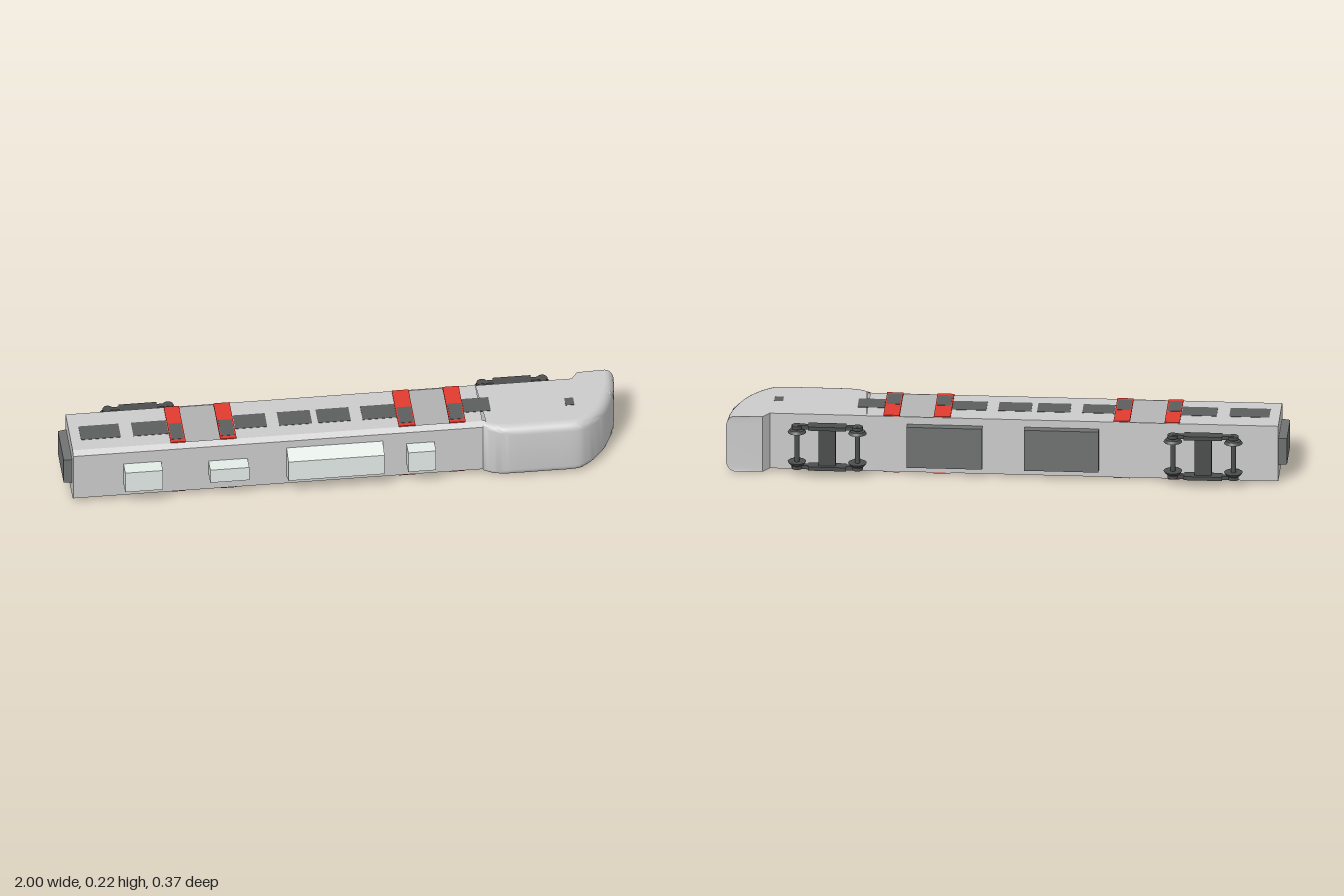
import * as THREE from 'three';
import { toCreasedNormals } from 'three/addons/utils/BufferGeometryUtils.js';

// Rail car lying on its side: roof faces +z, wheels face -z, nose at +x.
const CY = 0.111, HALF = 0.106;
const material = (color) => new THREE.MeshStandardMaterial({ color, side: THREE.DoubleSide });
const grey = material(0xcccccc);
const pale = material(0xe4ece8);
const glass = material(0x5c5e5e);
const dark = material(0x4c4e4e);
const under = material(0x707272);
const red = material(0xe23a2e);

export function createModel() {
  const group = new THREE.Group();

  const add = (name, geometry, mat, parent = group) => {
    const mesh = new THREE.Mesh(geometry, mat);
    mesh.name = name;
    parent.add(mesh);
    return mesh;
  };
  // Box given by its extents; y is measured from the centre plane
  const box = (name, mat, x0, x1, y0, y1, z0, z1, parent) => {
    const mesh = add(name, new THREE.BoxGeometry(x1 - x0, y1 - y0, z1 - z0), mat, parent);
    mesh.position.set((x0 + x1) / 2, CY + (y0 + y1) / 2, (z0 + z1) / 2);
    return mesh;
  };
  // The same box on both sides of the car
  const pair = (name, mat, x0, x1, y0, y1, z0, z1, parent) => {
    box(name, mat, x0, x1, y0, y1, z0, z1, parent);
    box(name, mat, x0, x1, -y1, -y0, z0, z1, parent);
  };

  // Hollow body, with open doorways between the side panels
  for (const [x0, x1] of [[-0.97, -0.564], [-0.44, 0.26], [0.382, 0.5]])
    pair('sidePanel', grey, x0, x1, HALF - 0.004, HALF, -0.105, 0.107);
  box('floor', grey, -0.97, 0.5, -HALF, HALF, -0.107, -0.103);
  box('rearWall', grey, -0.97, -0.966, -HALF, HALF, -0.105, 0.107);

  // Roof with chamfered edges
  const roof = new THREE.Shape([[-HALF, 0.104], [HALF, 0.104], [HALF, 0.107], [HALF - 0.013, 0.127],
    [-HALF + 0.013, 0.127], [-HALF, 0.107]].map(([y, z]) => new THREE.Vector2(y, z)));
  const roofGeometry = new THREE.ExtrudeGeometry(roof, { depth: 1.48, bevelEnabled: false });
  roofGeometry.applyMatrix4(new THREE.Matrix4().makeBasis(
    new THREE.Vector3(0, 1, 0), new THREE.Vector3(0, 0, 1), new THREE.Vector3(1, 0, 0)));
  add('roof', roofGeometry, grey).position.set(-0.97, CY, 0);

  // Nose: a lengthwise outline swept across the width, with rounded edges
  const outline = new THREE.SplineCurve([[0.5, 0.127], [0.53, 0.149], [0.57, 0.162], [0.62, 0.167],
    [0.73, 0.167], [0.83, 0.166], [0.87, 0.149], [0.915, 0.107], [0.957, 0.043], [0.99, -0.053], [1, -0.14]]
    .map(([x, z]) => new THREE.Vector2(x, z)));
  const rows = [];
  for (let i = 0; i <= 40; i++) {
    const p = outline.getPoint(i / 40), t = outline.getTangent(i / 40);
    const grow = Math.min(1, i / 12), front = Math.max(0, (i - 20) / 20);
    rows.push({ x: p.x, z: p.y, nx: t.y, nz: -t.x, inset: 0.02 + 0.012 * grow, round: 0.013 + 0.017 * grow + 0.015 * front });
  }
  // Underside rows close the chin and the floor
  for (const [x, z] of [[0.868, -0.14], [0.845, -0.105], [0.5, -0.105]])
    rows.push({ x, z, nx: 0, nz: 0, inset: 0, round: 0.03 });
  const steps = 6, columns = 2 * steps + 2;
  const positions = [], indices = [];
  const rowPoint = (r, j) => {
    const side = j <= steps ? -1 : 1;
    const k = j <= steps ? steps - j : j - steps - 1;
    const a = (k / steps) * Math.PI / 2, d = r.inset * (1 - Math.cos(a));
    return [r.x + r.nx * d, CY + side * (HALF - r.round + r.round * Math.sin(a)), r.z + r.nz * d];
  };
  rows.forEach((r, i) => {
    for (let j = 0; j < columns; j++) {
      positions.push(...rowPoint(r, j));
      if (i < rows.length - 1 && j < columns - 1) {
        const a = i * columns + j, b = a + columns;
        indices.push(a, b, a + 1, b, b + 1, a + 1);
      }
    }
  });
  const noseGeometry = new THREE.BufferGeometry();
  noseGeometry.setAttribute('position', new THREE.Float32BufferAttribute(positions, 3));
  noseGeometry.setIndex(indices);
  add('nose', toCreasedNormals(noseGeometry, 0.6), grey);

  // Flat nose sides
  const sideShape = new THREE.Shape(rows.map((r) => {
    const [x, , z] = rowPoint(r, 0);
    return new THREE.Vector2(x, z);
  }));
  for (const s of [-1, 1]) {
    const side = add('noseSide', new THREE.ShapeGeometry(sideShape), grey);
    side.rotation.x = Math.PI / 2;
    side.position.y = CY + s * HALF;
  }

  // Slanted headlight strips following the rounded front
  for (const s of [-1, 1]) {
    const strip = new THREE.PlaneGeometry(1, 1, 1, 10);
    const p = strip.attributes.position;
    for (let i = 0; i < p.count; i++) {
      const v = p.getY(i) + 0.5, h = 0.058 + 0.041 * v;
      const z = -0.034 + 0.01 * v + 0.012 * (p.getX(i) + 0.5);
      const sin = Math.max(0, (h - HALF + 0.038) / 0.038);
      const bend = 0.032 * (1 - Math.sqrt(1 - Math.min(1, sin * sin)));
      p.setXYZ(i, 0.978 - 0.26 * z - bend, CY + s * h, z);
    }
    strip.computeVertexNormals();
    add('headlight', strip, pale);
  }

  // Side windows
  for (const [x0, x1] of [[-0.933, -0.79], [-0.745, -0.62], [-0.38, -0.265], [-0.222, -0.104],
    [-0.083, 0.035], [0.077, 0.2], [0.441, 0.537]])
    pair('window', glass, x0, x1, HALF - 0.002, HALF + 0.001, -0.03, 0.05);
  pair('cabWindow', glass, 0.805, 0.837, HALF - 0.002, HALF + 0.001, 0.008, 0.05);

  // Sliding doors, standing open
  for (const [x0, x1] of [[-0.618, -0.564], [-0.44, -0.382], [0.2, 0.26], [0.382, 0.44]]) {
    pair('door', red, x0, x1, HALF - 0.001, HALF + 0.004, -0.105, 0.107);
    pair('doorWindow', glass, x0 + 0.005, x1 - 0.005, HALF, HALF + 0.005, -0.003, 0.09);
  }

  // Roof equipment
  for (const [x0, x1, y0, y1] of [[-0.79, -0.655, -0.041, 0.044], [-0.485, -0.345, -0.026, 0.03], [0.225, 0.325, -0.041, 0.044]])
    box('roofUnit', pale, x0, x1, y0, y1, 0.12, 0.182);
  // Shrinks the far face of a box along one axis into a tapered block
  const taper = (mesh, axis, sign, across, k) => {
    const p = mesh.geometry.attributes.position;
    for (let i = 0; i < p.count; i++)
      if (p.getComponent(i, axis) * sign > 0)
        for (const c of across) p.setComponent(i, c, p.getComponent(i, c) * k);
    mesh.geometry = mesh.geometry.toNonIndexed();
    mesh.geometry.computeVertexNormals();
  };
  taper(box('airConditioner', pale, -0.205, 0.14, -0.062, 0.064, 0.125, 0.184), 2, 1, [1], 0.66);

  // Rear gangway and underfloor boxes
  taper(box('gangway', under, -1, -0.965, -0.051, 0.053, -0.09, 0.092), 0, -1, [1, 2], 0.95);
  for (const [x0, x1] of [[-0.33, -0.065], [0.085, 0.355]])
    box('underfloorBox', under, x0, x1, -0.078, 0.078, -0.137, -0.105);

  // Bogies
  for (const cx of [-0.705, 0.637]) {
    const bogie = new THREE.Group();
    bogie.name = 'bogie';
    group.add(bogie);
    box('pivot', dark, cx - 0.016, cx + 0.016, -0.035, 0.035, -0.135, -0.105, bogie);
    box('bolster', dark, cx - 0.03, cx + 0.03, -0.075, 0.075, -0.158, -0.137, bogie);
    pair('sideFrame', dark, cx - 0.11, cx + 0.11, 0.07, 0.084, -0.16, -0.142, bogie);
    pair('frameCentre', dark, cx - 0.068, cx + 0.068, 0.07, 0.084, -0.172, -0.13, bogie);
    for (const dx of [-0.108, 0.108]) {
      const x = cx + dx;
      add('axle', new THREE.CylinderGeometry(0.009, 0.009, 0.15, 12), dark, bogie).position.set(x, CY, -0.153);
      for (const s of [-1, 1]) {
        const wheel = add('wheel', new THREE.CylinderGeometry(0.026, 0.033, 0.01, 20), dark, bogie);
        wheel.position.set(x, CY + s * 0.061, -0.153);
        if (s < 0) wheel.rotation.x = Math.PI;
        add('axleBox', new THREE.CylinderGeometry(0.019, 0.019, 0.012, 12), dark, bogie)
          .position.set(x, CY + s * 0.077, -0.153);
      }
    }
  }
  return group;
}
